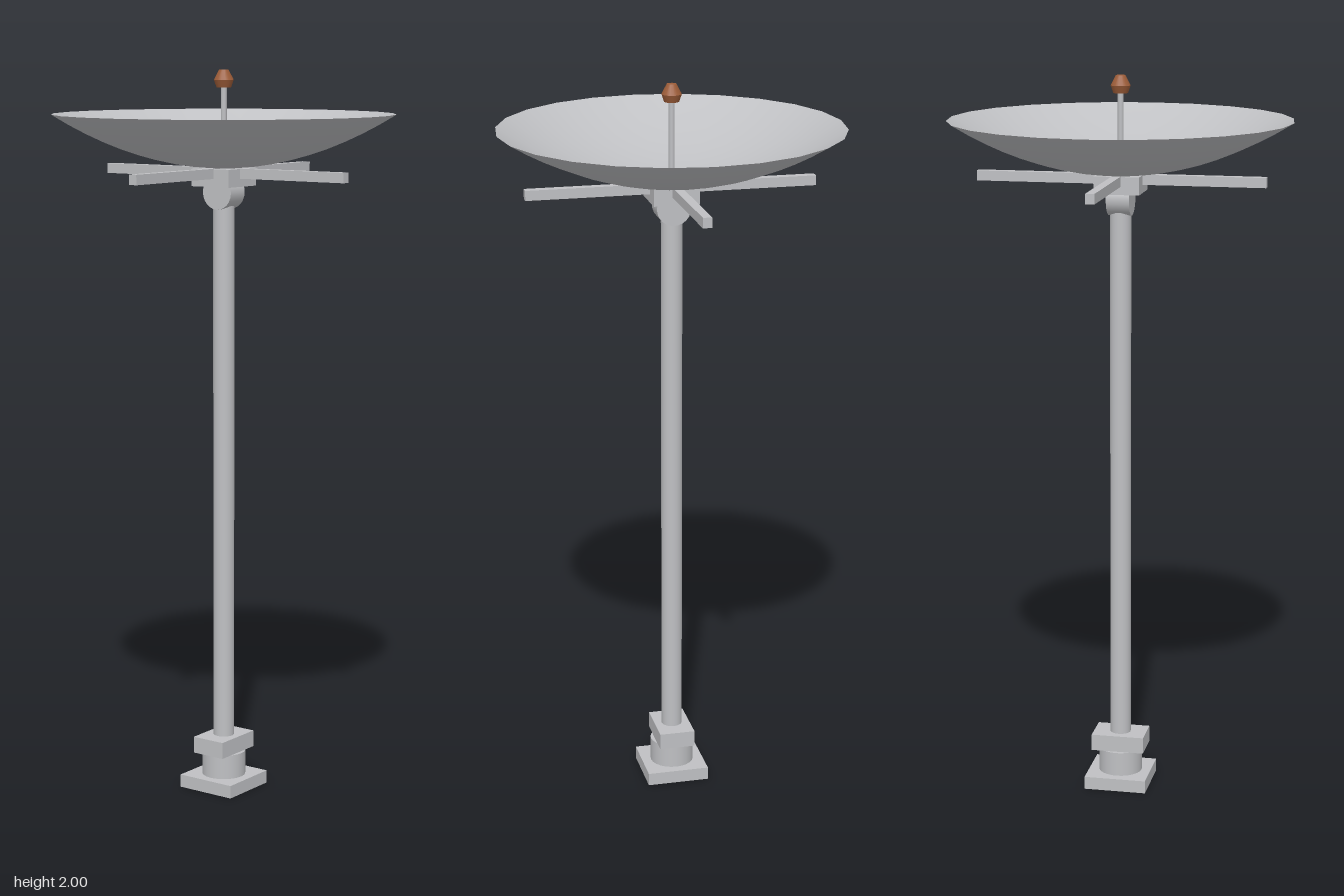
import * as THREE from 'three';

const metal = new THREE.MeshStandardMaterial({ color: 0xbfc0c3 });
metal.name = 'grey metal';
const dishMetal = new THREE.MeshStandardMaterial({ color: 0xbfc0c3, side: THREE.DoubleSide });
dishMetal.name = 'grey dish sheet';
const copper = new THREE.MeshStandardMaterial({ color: 0x9c5c38 });
copper.name = 'copper brown';

export function createModel() {
  const model = new THREE.Group();
  model.name = 'dishAntenna';

  const add = (name, geometry, material, y = 0) => {
    const mesh = new THREE.Mesh(geometry, material);
    mesh.name = name;
    mesh.position.y = y;
    model.add(mesh);
    return mesh;
  };
  const box = (name, w, y0, y1, d) =>
    add(name, new THREE.BoxGeometry(w, y1 - y0, d), metal, (y0 + y1) / 2);
  const post = (name, r, y0, y1, sides) =>
    add(name, new THREE.CylinderGeometry(r, r, y1 - y0, sides), metal, (y0 + y1) / 2);

  // Foot: square plate, round collar and clamp block
  box('basePlate', 0.174, 0, 0.036, 0.174);
  post('baseCollar', 0.061, 0.036, 0.104, 24);
  box('clampBlock', 0.148, 0.104, 0.15, 0.1);

  // Mast
  post('mast', 0.029, 0.15, 1.65, 20);

  // Tilt hinge, lying along x
  const hinge = add('hinge', new THREE.CylinderGeometry(0.047, 0.047, 0.063, 24), metal, 1.673);
  hinge.rotation.z = Math.PI / 2;

  // Hub and crossed support arms
  box('hub', 0.124, 1.689, 1.737, 0.124);
  box('armAcross', 0.79, 1.711, 1.738, 0.024);
  box('armAlong', 0.024, 1.711, 1.738, 0.79);

  // Parabolic dish
  const profile = [];
  for (let i = 0; i <= 10; i++) {
    const t = i / 10;
    profile.push(new THREE.Vector2(0.465 * t, 1.737 + 0.145 * t * t));
  }
  add('dish', new THREE.LatheGeometry(profile, 24), dishMetal);

  // Feed rod and horn
  post('feedRod', 0.008, 1.73, 1.96, 10);
  const frustum = (name, top, bottom, y0, y1) =>
    add(name, new THREE.CylinderGeometry(top, bottom, y1 - y0, 16), copper, (y0 + y1) / 2);
  frustum('feedHornLower', 0.027, 0.02, 1.953, 1.973);
  frustum('feedHornUpper', 0.013, 0.027, 1.973, 2);

  return model;
}
